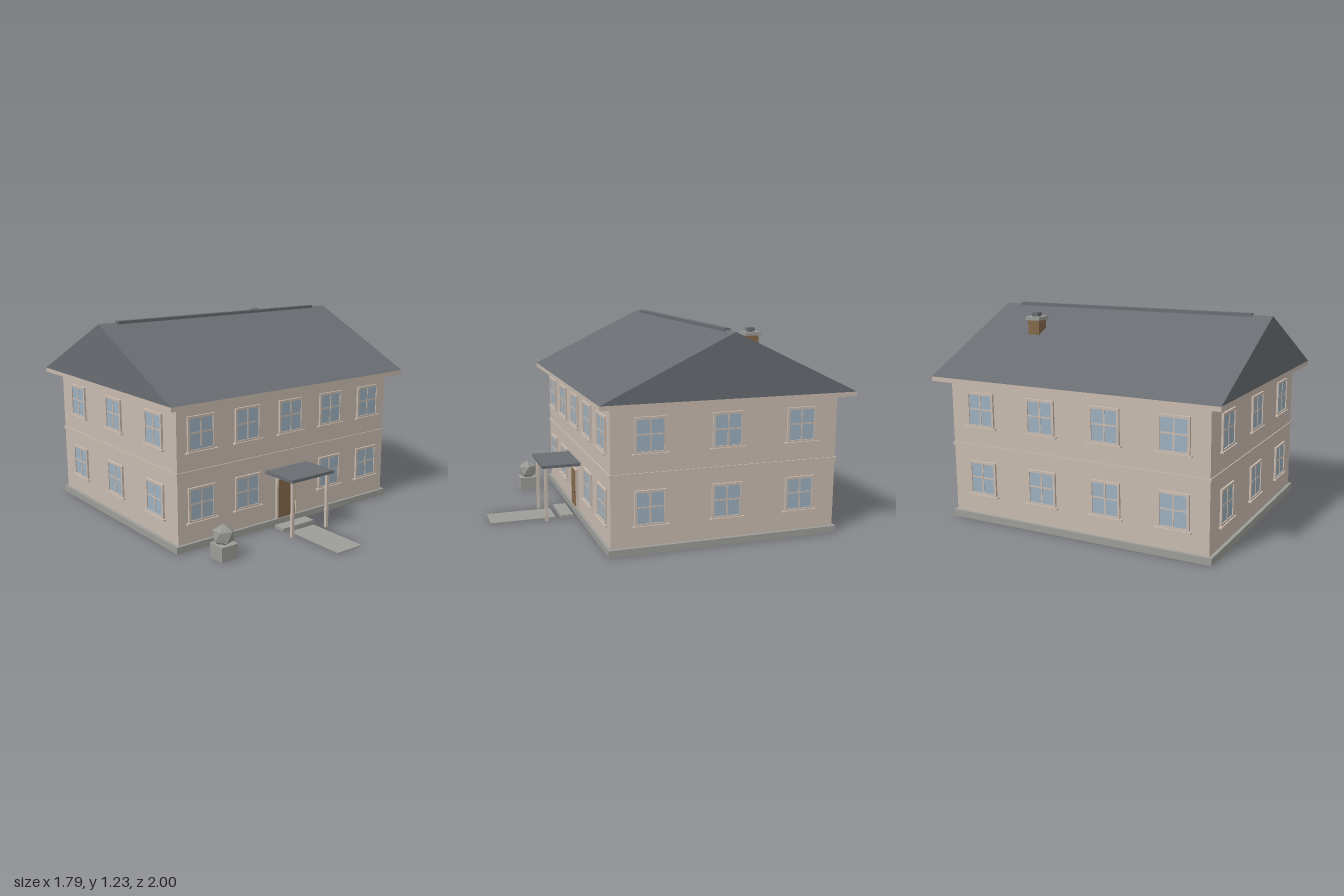
import * as THREE from 'three';

const mat = (name, color) => {
  const m = new THREE.MeshStandardMaterial({ color });
  m.name = name;
  return m;
};

export function createModel() {
  const wall = mat('plaster', 0xc8bbb0);
  const trim = mat('trim', 0xc9bbaf);
  const slate = mat('slate', 0x696d72);
  const stone = mat('stone', 0x9c9c98);
  const wood = mat('brown', 0x84694a);
  const glass = mat('glass', 0x9db0be);
  const metal = mat('darkMetal', 0x4a4744);
  const shrub = mat('shrub', 0x989893);

  const model = new THREE.Group();
  model.name = 'house';
  const CZ = -0.24; // house centre in z

  // box given by its centre and size
  const box = (parent, name, m, w, h, d, x, y, z) => {
    const mesh = new THREE.Mesh(new THREE.BoxGeometry(w, h, d), m);
    mesh.name = name;
    mesh.position.set(x, y, z);
    parent.add(mesh);
    return mesh;
  };

  // Walls, plinth, band course and eaves
  box(model, 'foundation', stone, 1.67, 0.04, 1.4, 0, 0.02, CZ);
  box(model, 'walls', wall, 1.63, 0.79, 1.366, 0, 0.435, CZ);
  box(model, 'bandCourse', trim, 1.642, 0.02, 1.378, 0, 0.45, CZ);
  box(model, 'eaves', trim, 1.79, 0.026, 1.52, 0, 0.843, CZ);

  // Gabled roof as a solid prism along x
  const gable = new THREE.Shape([
    new THREE.Vector2(-0.76, 0.856),
    new THREE.Vector2(0.76, 0.856),
    new THREE.Vector2(0, 1.218),
  ]);
  const roofGeo = new THREE.ExtrudeGeometry(gable, { depth: 1.79, bevelEnabled: false });
  roofGeo.translate(0, 0, -0.895).rotateY(Math.PI / 2);
  const roof = new THREE.Mesh(roofGeo, slate);
  roof.name = 'roof';
  roof.position.z = CZ;
  model.add(roof);
  box(model, 'ridgeCap', slate, 1.55, 0.02, 0.036, 0, 1.218, CZ);

  // Chimney
  const chimney = new THREE.Group();
  chimney.name = 'chimney';
  chimney.position.set(0.488, 0, -0.513);
  model.add(chimney);
  box(chimney, 'chimneyStack', wood, 0.076, 0.16, 0.076, 0, 1.078, 0);
  box(chimney, 'chimneyCap', stone, 0.098, 0.02, 0.098, 0, 1.166, 0);
  box(chimney, 'chimneyFlue', slate, 0.04, 0.024, 0.04, 0, 1.188, 0);

  // One window facing +z, with its back on z = 0
  const W = 0.184, H = 0.205, BAR = 0.014;
  const makeWindow = () => {
    const g = new THREE.Group();
    g.name = 'window';
    box(g, 'windowGlass', glass, W - BAR, H - BAR, 0.006, 0, 0, 0.003);
    for (const s of [-1, 1]) {
      box(g, 'frameSide', trim, BAR, H, 0.012, s * (W - BAR) / 2, 0, 0.006);
      box(g, 'frameRail', trim, W - 2 * BAR, BAR, 0.012, 0, s * (H - BAR) / 2, 0.006);
    }
    box(g, 'mullion', trim, 0.009, H - 2 * BAR, 0.009, 0, 0, 0.0045);
    box(g, 'transom', trim, W - 2 * BAR, 0.009, 0.008, 0, 0.005, 0.004);
    box(g, 'sill', trim, 0.212, 0.009, 0.02, 0, -H / 2 - 0.001, 0.01);
    return g;
  };

  // Rows of windows on the four walls, two floors each
  const facades = [
    { name: 'front', turn: 0, dist: 0.683, at: [-0.655, -0.327, 0, 0.327, 0.655] },
    { name: 'back', turn: Math.PI, dist: 0.683, at: [-0.612, -0.204, 0.204, 0.612] },
    { name: 'left', turn: Math.PI / 2, dist: 0.815, at: [-0.456, 0, 0.456] },
    { name: 'right', turn: -Math.PI / 2, dist: 0.815, at: [-0.456, 0, 0.456] },
  ];
  for (const f of facades) {
    const side = new THREE.Group();
    side.name = f.name + 'Windows';
    side.position.z = CZ;
    side.rotation.y = f.turn;
    for (const y of [0.26, 0.669]) {
      for (const x of f.at) {
        if (f.name === 'front' && y < 0.4 && x === 0) continue; // the door is here
        const win = makeWindow();
        win.position.set(x, y, f.dist);
        side.add(win);
      }
    }
    model.add(side);
  }

  // Front door
  const door = new THREE.Group();
  door.name = 'frontDoor';
  door.position.set(-0.028, 0, 0.443);
  model.add(door);
  box(door, 'doorLeaf', wood, 0.142, 0.246, 0.009, 0, 0.163, 0.0045);
  for (const s of [-1, 1]) box(door, 'doorJamb', trim, 0.012, 0.256, 0.015, s * 0.076, 0.168, 0.0075);
  box(door, 'doorHead', trim, 0.164, 0.012, 0.015, 0, 0.291, 0.0075);
  const knob = new THREE.Mesh(new THREE.SphereGeometry(0.007, 10, 8), metal);
  knob.name = 'doorKnob';
  knob.position.set(0.042, 0.138, 0.014);
  door.add(knob);

  // Porch canopy on two posts, step and path
  const porch = new THREE.Group();
  porch.name = 'porch';
  porch.position.x = -0.028;
  model.add(porch);
  box(porch, 'canopy', slate, 0.328, 0.018, 0.242, 0, 0.35, 0.566);
  for (const s of [-1, 1]) box(porch, 'porchPost', trim, 0.018, 0.341, 0.018, s * 0.136, 0.1705, 0.66);
  box(porch, 'step', stone, 0.243, 0.02, 0.08, 0, 0.01, 0.527);
  box(porch, 'path', stone, 0.187, 0.005, 0.405, 0, 0.0025, 0.7975);

  // Planter with a faceted shrub
  box(model, 'planter', stone, 0.11, 0.086, 0.11, -0.653, 0.043, 0.65);
  const bushGeo = new THREE.IcosahedronGeometry(0.067, 0);
  bushGeo.rotateZ(Math.atan(2 / (1 + Math.sqrt(5)))).rotateY(Math.PI);
  const bush = new THREE.Mesh(bushGeo, shrub);
  bush.name = 'shrub';
  bush.position.set(-0.653, 0.131, 0.647);
  model.add(bush);

  return model;
}
